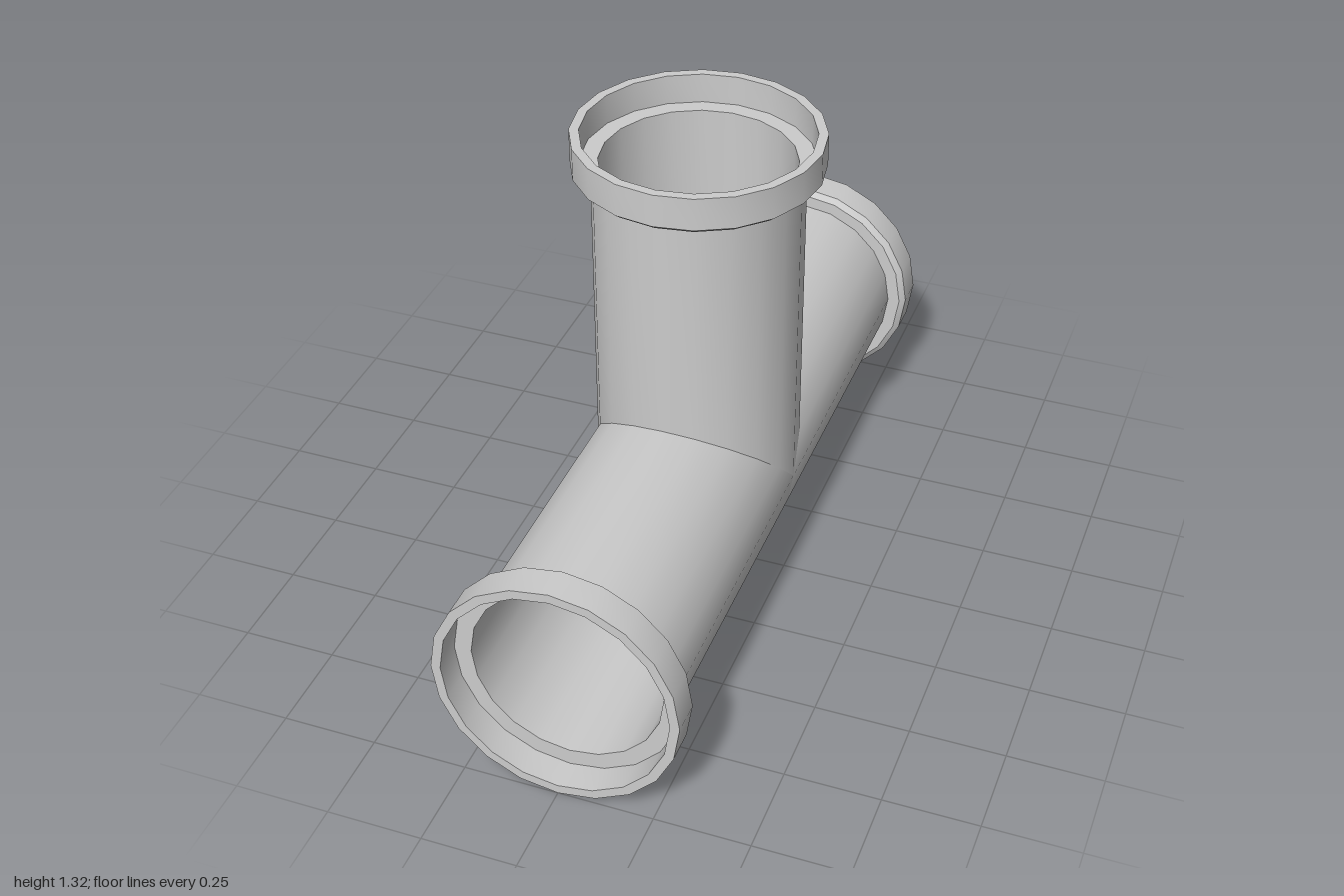
import * as THREE from 'three';
import { toCreasedNormals } from 'three/addons/utils/BufferGeometryUtils.js';

const SIDES = 20;
const AXIS_Y = 0.32; // height of the run's centre line

// Wall section [radius, distance from centre]: up the outside, over the socket rim, down the bore
const SECTION = [
  [0.27, 0], [0.27, 0.9], [0.304, 0.9], [0.32, 0.913], [0.32, 1],
  [0.295, 1], [0.295, 0.92], [0.25, 0.92], [0.25, 0],
].map(([r, d]) => new THREE.Vector2(r, d));

// One socketed arm along +y, its inner end mitred by start(z)
function armGeometry(start) {
  const lathe = new THREE.LatheGeometry(SECTION, SIDES);
  const pos = lathe.attributes.position;
  for (let i = 0; i < pos.count; i++) {
    if (pos.getY(i) < 1e-6) pos.setY(i, start(pos.getZ(i)));
  }
  return toCreasedNormals(lathe, 0.5);
}

export function createModel() {
  const model = new THREE.Group();
  model.name = 'pipeTee';
  const material = new THREE.MeshStandardMaterial({ color: 0xcccccc });

  function addArm(name, geometry, turn = 0) {
    const arm = new THREE.Mesh(geometry, material);
    arm.name = name;
    arm.position.y = AXIS_Y;
    arm.rotation.y = turn;
    model.add(arm);
  }

  // Upright branch, cut to a V on both sides
  addArm('branchPipe', armGeometry((z) => Math.abs(z)));

  // Two halves of the straight run, cut away where the branch opens into them
  const run = armGeometry((z) => Math.max(0, -z)).rotateX(Math.PI / 2);
  addArm('frontRunPipe', run);
  addArm('backRunPipe', run, Math.PI);

  return model;
}
